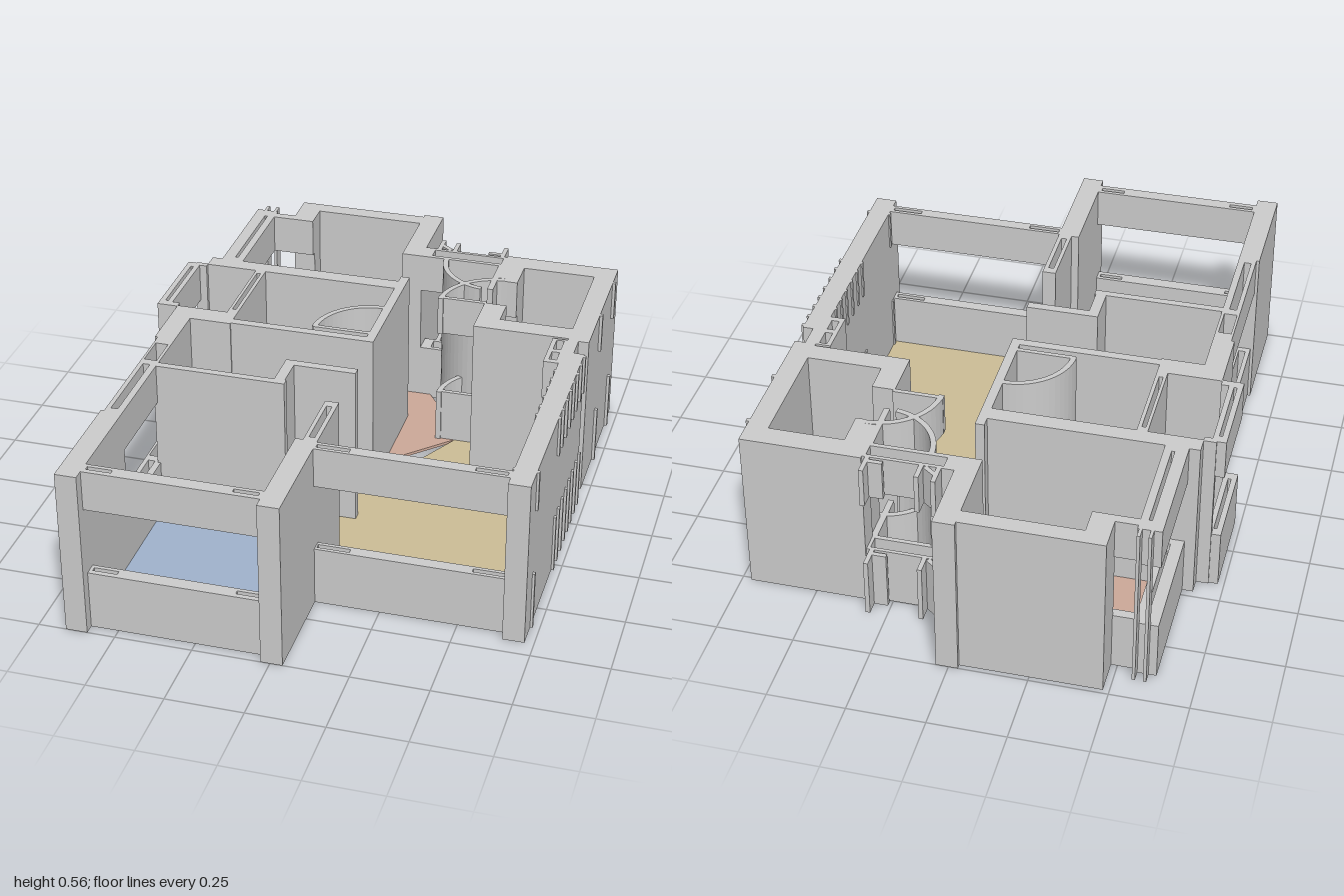
import * as THREE from 'three';

const H = 0.565, SILL = 0.2, HEAD = 0.43;

export function createModel() {
  const model = new THREE.Group();
  const mat = (color) => new THREE.MeshStandardMaterial({ color, side: THREE.DoubleSide });
  const wallMat = mat(0xcccccc);
  const path = (pts, Type) => new Type(pts.map(([x, z]) => new THREE.Vector2(x, -z)));
  const rect = ([x0, x1, z0, z1]) => [[x0, z0], [x1, z0], [x1, z1], [x0, z1]];

  // Upright prism from a plan outline, with optional slots
  function prism(name, pts, y0, y1, material = wallMat, holes = []) {
    const shape = path(pts, THREE.Shape);
    for (const h of holes) shape.holes.push(path(rect(h), THREE.Path));
    const geo = new THREE.ExtrudeGeometry(shape, { depth: y1 - y0, bevelEnabled: false });
    geo.rotateX(-Math.PI / 2).translate(0, y0, 0);
    const mesh = new THREE.Mesh(geo, material);
    mesh.name = name;
    model.add(mesh);
  }
  // Lower and upper bands around an open middle
  function bands(name, pts, holes) {
    prism(name + 'Sill', pts, 0, SILL, wallMat, holes);
    prism(name + 'Header', pts, HEAD, H, wallMat, holes);
  }
  // Thin curved strip, angles in degrees measured in plan (x, z)
  function arc(cx, cz, r, a0, a1, t = 0.018) {
    const pts = [], n = 14;
    for (const [rad, from, to] of [[r, a0, a1], [r - t, a1, a0]])
      for (let i = 0; i <= n; i++) {
        const a = THREE.MathUtils.degToRad(from + (to - from) * i / n);
        pts.push([cx + rad * Math.cos(a), cz + rad * Math.sin(a)]);
      }
    return pts;
  }

  // Full height walls: x0, x1, z0, z1
  const walls = {
    backWall: [-0.48, 0.04, -0.985, -0.93],
    backCornerWall: [-0.48, -0.405, -0.93, -0.86],
    backSideWall: [-0.03, 0.04, -1, -0.68],
    middleWall: [-0.66, 0.04, -0.475, -0.42],
    innerBathWall: [0.01, 0.04, -0.51, -0.06],
    lowerBathWall: [-0.66, -0.45, -0.105, -0.03],
    lowerBathInnerWall: [-0.45, 0.04, -0.065, -0.035],
    rearDoorJamb: [0.01, 0.04, -0.1, -0.06],
    sideWall: [-0.66, -0.59, -0.03, 0.12],
    frontSideWall: [-0.66, -0.59, 0.61, 1],
    frontMiddleWall: [-0.03, 0.04, 0.61, 1],
    livingSideWall: [0.65, 0.72, -0.14, 0.69],
    kitchenBackWall: [0.33, 0.72, -0.76, -0.685],
    kitchenSideWall: [0.65, 0.72, -0.685, -0.22],
    kitchenFrontWall: [0.33, 0.65, -0.3, -0.23],
    kitchenInnerFront: [0.33, 0.405, -0.4, -0.3],
    kitchenInnerBack: [0.335, 0.405, -0.685, -0.59],
    bedroomWall: [-0.6, -0.16, 0.28, 0.305],
    bedroomReturn: [-0.2, -0.165, 0.15, 0.28],
    bedroomStub: [-0.165, 0.04, 0.15, 0.18],
  };
  for (const [name, r] of Object.entries(walls)) prism(name, rect(r), 0, H);

  // Thin partitions with narrow cavities
  prism('bathDivider', rect([-0.485, -0.45, -0.42, -0.105]), 0, H, wallMat,
    [[-0.475, -0.462, -0.4, -0.13]]);
  prism('bedroomDoorWall', rect([-0.005, 0.04, 0.37, 0.61]), 0, H, wallMat,
    [[0.008, 0.026, 0.4, 0.59]]);

  // Windows: plan rectangle and slots
  const windows = [
    ['bedroomFront', [-0.59, -0.03, 0.92, 0.965], [[-0.58, -0.5, 0.933, 0.948], [-0.12, -0.04, 0.933, 0.948]]],
    ['livingFront', [0.04, 0.65, 0.615, 0.655], [[0.045, 0.15, 0.627, 0.643], [0.54, 0.64, 0.627, 0.643]]],
    ['bedroomSide', [-0.65, -0.59, 0.28, 0.61], [[-0.635, -0.612, 0.3, 0.59]]],
    ['nookSide', [-0.65, -0.59, 0.12, 0.28], [[-0.642, -0.6, 0.16, 0.27]]],
    ['rearSide', [-0.625, -0.55, -0.885, -0.475], [[-0.585, -0.575, -0.84, -0.5]]],
    ['rearReturn', [-0.55, -0.405, -0.87, -0.84]],
    ['baySide', [-0.73, -0.685, -0.42, -0.1], [[-0.712, -0.702, -0.39, -0.13]]],
    ['bayReturn', [-0.685, -0.66, -0.125, -0.1]],
    ['livingNook', [0.6, 0.685, -0.22, -0.14], [[0.615, 0.64, -0.21, -0.15]]],
    ['livingNookInner', [0.6, 0.65, -0.14, -0.06], [[0.615, 0.64, -0.13, -0.08]]],
    ['entry', [0.04, 0.335, -0.75, -0.68], [[0.075, 0.32, -0.738, -0.695]]],
    ['entryPostA', [0.08, 0.095, -0.82, -0.75]],
    ['entryPostB', [0.135, 0.15, -0.81, -0.75]],
    ['entryPostC', [0.305, 0.32, -0.82, -0.75]],
    ['entryRailing', [0.26, 0.305, -0.775, -0.76]],
    ['entryJamb', [0.315, 0.335, -0.68, -0.5]],
    ['kitchenDoor', [0.37, 0.405, -0.59, -0.57]],
  ];
  for (const [name, r, holes] of windows) bands(name, rect(r), holes);
  bands('entryBrace', [[0.095, -0.79], [0.135, -0.76], [0.125, -0.748], [0.085, -0.778]]);

  // Slim ribs on the outer walls
  for (const z of [0.275, 0.22, 0.16, 0.1, 0.045, -0.01, -0.07, -0.125, 0.6])
    bands('livingRib', rect([0.645, 0.728, z - 0.007, z + 0.007]));
  for (const z of [-0.42, -0.66]) bands('kitchenRib', rect([0.72, 0.73, z - 0.007, z + 0.007]));
  for (const x of [-0.6, -0.565]) prism('rearRib', rect([x, x + 0.01, -0.92, -0.88]), 0, H);
  prism('middleRib', rect([-0.7, -0.66, -0.425, -0.405]), 0, H);

  // Curved door sweeps
  prism('bathDoorSweep', arc(0.01, -0.09, 0.195, 180, 270), 0, H);
  prism('bathDoorLeaf', rect([-0.18, 0.01, -0.1, -0.085]), 0, H);
  prism('entryDoorSweep', arc(0.32, -0.69, 0.2, 98, 180), 0, H);
  bands('kitchenDoorSweep', arc(0.37, -0.39, 0.2, 180, 270));
  bands('kitchenDoorLeaf', rect([0.17, 0.335, -0.41, -0.395]));

  // Coloured floors
  const floor = (name, color, pts) => prism(name, pts, 0.002, 0.012, mat(color));
  floor('rearBedroomFloor', 0xcca898, [[-0.55, -0.84], [-0.405, -0.84], [-0.405, -0.93], [-0.03, -0.93],
    [-0.03, -0.68], [0.08, -0.68], [0.15, -0.58], [0.21, -0.53], [0.175, -0.4], [0.24, -0.4],
    [0.04, -0.2], [0.04, -0.475], [-0.55, -0.475]]);
  floor('livingFloor', 0xccbd96, [[0.24, -0.4], [0.33, -0.4], [0.33, -0.23], [0.6, -0.23], [0.6, -0.06],
    [0.65, -0.06], [0.65, 0.615], [0.04, 0.615], [0.04, 0.4], [0, 0.375], [-0.14, 0.245], [-0.14, 0.18],
    [0.04, 0.18], [0.04, 0.15], [-0.2, 0.15], [-0.2, 0.28], [-0.59, 0.28], [-0.59, -0.03], [0.04, -0.03]]);
  floor('frontBedroomFloor', 0xa0b2cc, [[-0.59, 0.305], [-0.165, 0.305], [-0.165, 0.18], [-0.14, 0.18],
    [-0.14, 0.245], [0, 0.375], [0, 0.61], [-0.03, 0.61], [-0.03, 0.92], [-0.59, 0.92]]);
  const sweep = arc(0.01, -0.09, 0.19, 180, 270).slice(0, 15);
  floor('bathFloor', 0x98bfbe, [[-0.45, -0.42], [0.01, -0.42], ...sweep.slice().reverse(),
    [-0.18, -0.065], [-0.45, -0.065]]);
  const beige = 0xc2bbb3;
  floor('bathDoorFloor', beige, [...sweep, [0.01, -0.065], [-0.18, -0.065]]);
  floor('bayFloor', beige, rect([-0.685, -0.485, -0.42, -0.105]));
  floor('kitchenFloor', beige, [[0.405, -0.685], [0.65, -0.685], [0.65, -0.3], [0.405, -0.3],
    [0.405, -0.4], [0.47, -0.43], [0.47, -0.47], [0.405, -0.48]]);
  floor('entryFloor', beige, rect([0.075, 0.32, -0.738, -0.695]));
  floor('entryDoorFloor', beige, [...arc(0.32, -0.69, 0.19, 98, 180).slice(0, 15), [0.32, -0.69]]);

  return model;
}
